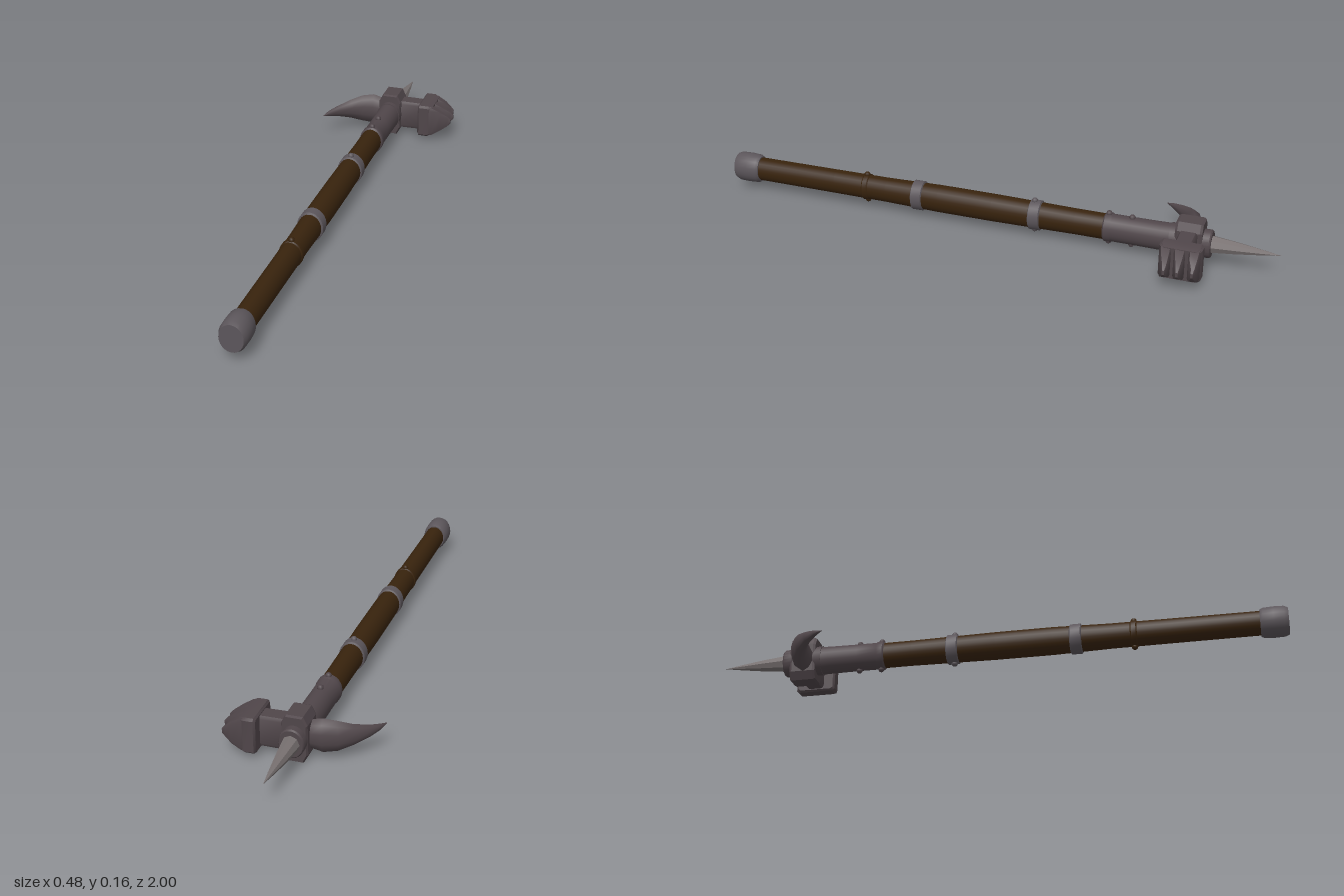
import * as THREE from 'three';
import { toCreasedNormals } from 'three/addons/utils/BufferGeometryUtils.js';

const material = (name, color) => {
  const m = new THREE.MeshStandardMaterial({ color });
  m.name = name;
  return m;
};

const AXIS_Y = 0.08; // height of the shaft centre line
const OVAL = 0.84; // shaft is narrower across than it is tall

// Surface of revolution along z; profile is [z, radius] from back to front
function turned(profile, squash = OVAL, sides = 24) {
  const g = new THREE.LatheGeometry(profile.map(([z, r]) => new THREE.Vector2(r, z)), sides);
  g.rotateX(Math.PI / 2).scale(squash, 1, 1).translate(0, AXIS_Y, 0);
  return toCreasedNormals(g, 0.6);
}

// Sweep a unit outline [height, width] along sections [x, z, halfHeight, halfWidth]
function sweep(sections, outline, crease = 0.6) {
  const n = outline.length, pos = [], index = [];
  sections.forEach(([x, z, h, w], i) => {
    const a = sections[Math.max(i - 1, 0)], b = sections[Math.min(i + 1, sections.length - 1)];
    const t = new THREE.Vector2(b[0] - a[0], b[1] - a[1]).normalize();
    for (const [u, v] of outline) pos.push(x - t.y * v * w, AXIS_Y + u * h, z + t.x * v * w);
  });
  for (let i = 0; i < sections.length - 1; i++) {
    for (let j = 0; j < n; j++) {
      const a = i * n + j, b = i * n + (j + 1) % n;
      index.push(a, b, a + n, b, b + n, a + n);
    }
  }
  const last = (sections.length - 1) * n;
  for (let j = 1; j < n - 1; j++) index.push(0, j + 1, j, last, last + j, last + j + 1);
  const g = new THREE.BufferGeometry();
  g.setAttribute('position', new THREE.Float32BufferAttribute(pos, 3));
  g.setIndex(index);
  return toCreasedNormals(g, crease);
}

// Rectangle outline with cut corners
const chamfered = (c) => [
  [1, -1 + c], [1, 1 - c], [1 - c, 1], [-1 + c, 1],
  [-1, 1 - c], [-1, -1 + c], [-1 + c, -1], [1 - c, -1],
];

export function createModel() {
  const group = new THREE.Group();
  const iron = material('dark iron', 0x50464a);
  const steel = material('bare steel', 0x777070);
  const band = material('band iron', 0x5c565b);
  const wood = material('dark wood', 0x38230d);
  const add = (name, geometry, mat) => {
    const mesh = new THREE.Mesh(geometry, mat);
    mesh.name = name;
    group.add(mesh);
    return mesh;
  };

  // Wooden shaft, slightly thicker between the bands
  add('shaft', turned([
    [-0.45, 0], [-0.45, 0.046], [-0.3, 0.046], [-0.16, 0.048], [0.0, 0.05],
    [0.2, 0.05], [0.28, 0.048], [0.4, 0.045], [0.6, 0.044], [0.93, 0.043], [0.93, 0],
  ]), wood);
  add('gripRing', turned([[0.465, 0.042], [0.472, 0.048], [0.488, 0.048], [0.495, 0.042]]), wood);

  // Iron bands around the shaft
  for (const z of [-0.155, 0.28]) {
    add('shaftBand', turned([
      [z - 0.022, 0.046], [z - 0.018, 0.054], [z + 0.018, 0.054], [z + 0.022, 0.046],
    ]), band);
  }

  // Pommel cap
  add('pommel', turned([
    [0.905, 0], [0.905, 0.047], [0.915, 0.053], [0.95, 0.055], [0.985, 0.054], [1, 0.047], [1, 0],
  ]), band);

  // Socket joining shaft and head
  add('socket', turned([
    [-0.66, 0], [-0.66, 0.052], [-0.6, 0.05], [-0.5, 0.049], [-0.43, 0.049],
    [-0.425, 0.052], [-0.405, 0.052], [-0.4, 0.046], [-0.4, 0],
  ]), iron);

  // Rivets above and below the shaft
  for (const [z, r, mat] of [[-0.415, 0.052, iron], [-0.495, 0.05, iron], [-0.15, 0.054, band], [0.48, 0.048, wood]]) {
    for (const side of [-1, 1]) {
      const rivet = add('rivet', new THREE.SphereGeometry(0.011, 10, 8), mat);
      rivet.position.set(0, AXIS_Y + side * r, z);
    }
  }

  // Eight-sided collar of the head with a bevelled rim
  const half = [[0.028, 0.08], [0.042, 0.053], [0.042, -0.053], [0.028, -0.08]];
  const outline = [...half, ...half.map(([x, y]) => [-x, -y])].map(([x, y]) => new THREE.Vector2(x * 0.92, y * 0.95));
  const collar = new THREE.ExtrudeGeometry(new THREE.Shape(outline), {
    depth: 0.076, bevelSize: 0.004, bevelThickness: 0.008, bevelSegments: 1,
  });
  add('headCollar', collar.translate(0, AXIS_Y, -0.734), iron);
  add('spikeSeat', turned([[-0.77, 0], [-0.77, 0.046], [-0.765, 0.05], [-0.73, 0.05], [-0.63, 0.054], [-0.63, 0]]), iron);

  // Top spike
  add('spike', turned([[-1, 0], [-0.93, 0.011], [-0.85, 0.022], [-0.765, 0.031], [-0.765, 0]], 0.95, 8), steel);

  // Curved beak
  const lens = [[1, 0], [0.75, 0.65], [0.3, 1], [-0.3, 1], [-0.75, 0.65], [-1, 0],
    [-0.75, -0.65], [-0.3, -1], [0.3, -1], [0.75, -0.65]];
  add('beak', sweep([
    [-0.025, -0.69, 0.05, 0.03], [-0.045, -0.69, 0.052, 0.031], [-0.075, -0.69, 0.06, 0.031],
    [-0.12, -0.68, 0.053, 0.027], [-0.16, -0.659, 0.038, 0.021], [-0.2, -0.624, 0.022, 0.014],
    [-0.225, -0.59, 0.011, 0.008], [-0.24, -0.56, 0.001, 0.001],
  ], lens, 0.9), iron);

  // Hammer neck and crown block
  add('hammerNeck', sweep([[0.03, -0.696, 0.054, 0.031], [0.13, -0.696, 0.053, 0.03]], chamfered(0.2)), iron);
  add('hammerCrown', sweep([
    [0.117, -0.697, 0.056, 0.064], [0.123, -0.697, 0.062, 0.071],
    [0.155, -0.697, 0.062, 0.071], [0.172, -0.697, 0.056, 0.06],
  ], chamfered(0.12)), iron);

  // Three wedge teeth on the striking face
  for (const [root, tip, end] of [[-0.745, -0.752, 0.23], [-0.697, -0.705, 0.24], [-0.65, -0.661, 0.24]]) {
    add('hammerTooth', sweep([
      [0.15, root, 0.061, 0.021], [0.17, root, 0.055, 0.019],
      [0.2, (root + tip) / 2, 0.038, 0.014], [end - 0.012, tip, 0.02, 0.007], [end, tip, 0.008, 0.004],
    ], chamfered(0.2)), iron);
  }
  return group;
}
